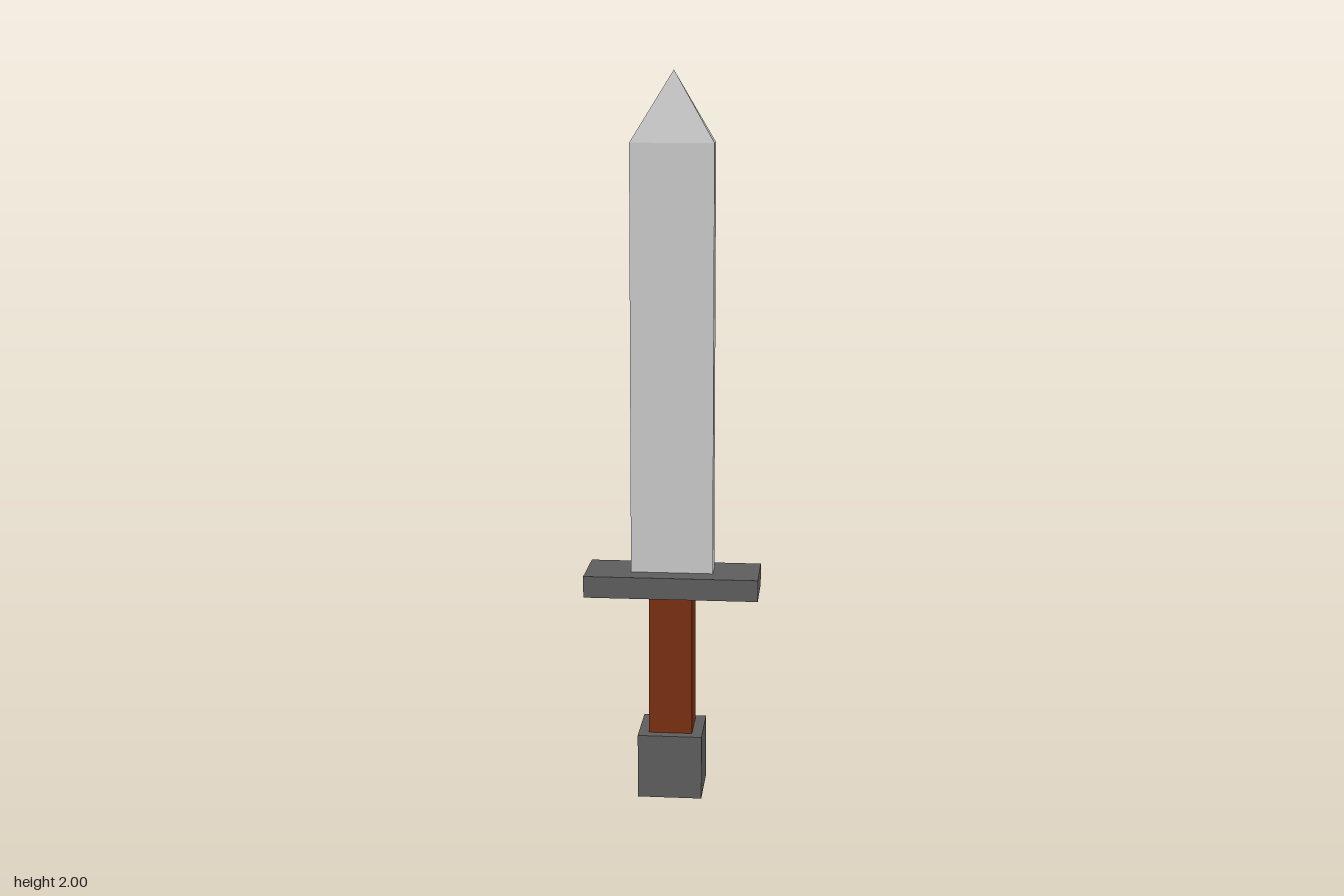
import * as THREE from 'three';

const steel = new THREE.MeshStandardMaterial({ color: 0xcccccc, flatShading: true });
const iron = new THREE.MeshStandardMaterial({ color: 0x5e5e5e, flatShading: true });
const wood = new THREE.MeshStandardMaterial({ color: 0x7a3010, flatShading: true });

// Box standing between two heights
function block(name, width, depth, bottom, top, material, x = 0) {
  const mesh = new THREE.Mesh(new THREE.BoxGeometry(width, top - bottom, depth), material);
  mesh.name = name;
  mesh.position.set(x, (bottom + top) / 2, 0);
  return mesh;
}

// Four-sided point: a square cone turned to align with the blade, then flattened
function bladeTip(width, depth, bottom, top, x, apexX) {
  const height = top - bottom;
  const geometry = new THREE.ConeGeometry(Math.SQRT1_2, height, 4, 1, true);
  geometry.rotateY(Math.PI / 4);
  geometry.scale(width, 1, depth);
  geometry.translate(x, bottom + height / 2, 0);
  // Shift the apex slightly off the blade's centre line
  const p = geometry.attributes.position;
  for (let i = 0; i < p.count; i++) {
    if (p.getY(i) > top - 0.001) p.setX(i, apexX);
  }
  geometry.computeVertexNormals();
  const mesh = new THREE.Mesh(geometry, steel);
  mesh.name = 'bladeTip';
  return mesh;
}

export function createModel() {
  const sword = new THREE.Group();
  sword.name = 'sword';
  sword.add(
    block('pommel', 0.178, 0.178, 0, 0.18, iron, -0.002),
    block('grip', 0.12, 0.12, 0.18, 0.575, wood, -0.002),
    block('crossguard', 0.48, 0.18, 0.575, 0.635, iron),
    block('blade', 0.227, 0.06, 0.635, 1.81, steel, -0.001),
    bladeTip(0.227, 0.06, 1.81, 2, -0.001, 0.002)
  );
  return sword;
}
